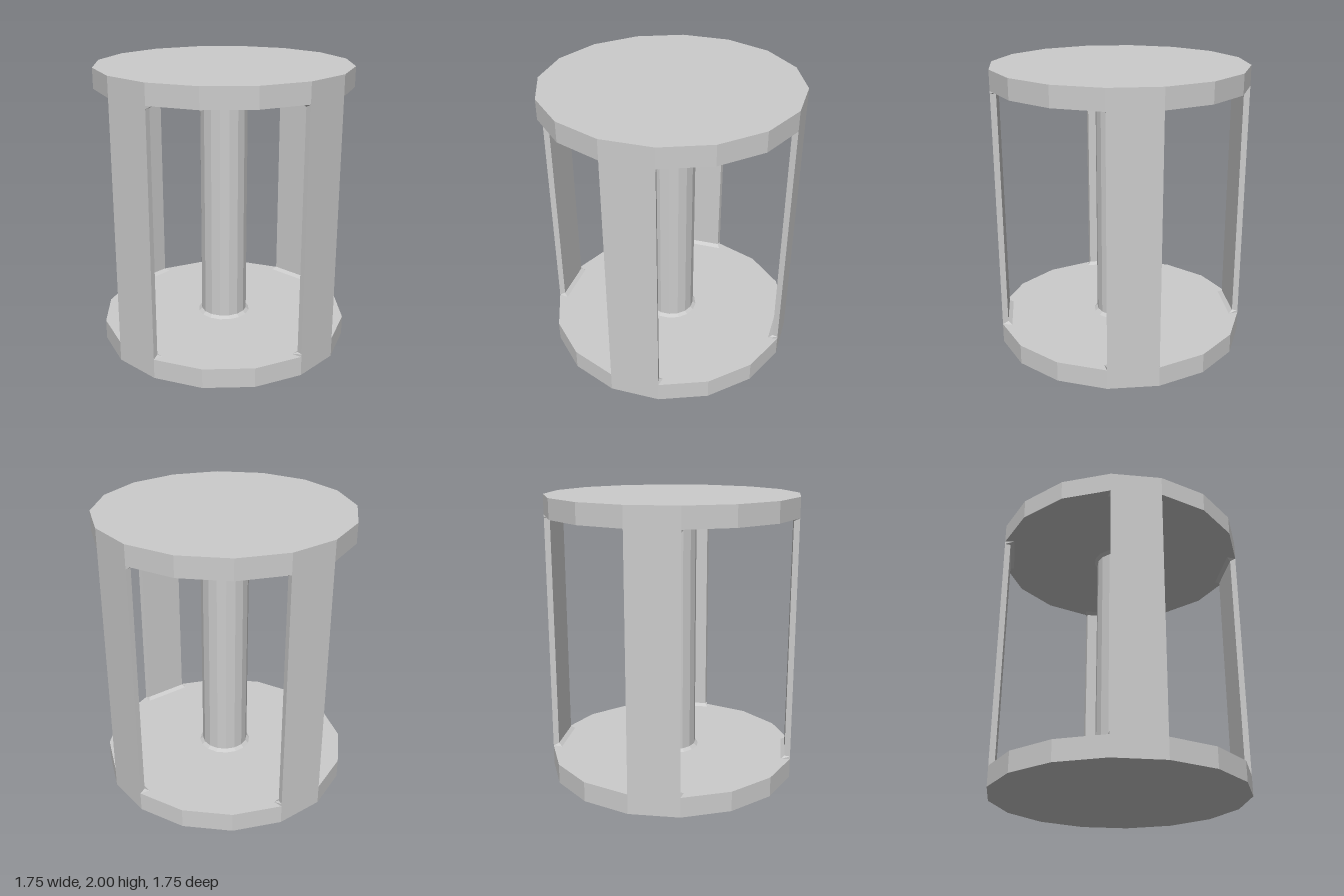
import * as THREE from 'three';

const SIDES = 16;
const APOTHEM = 0.875;                               // flat of the rim to the centre
const RADIUS = APOTHEM / Math.cos(Math.PI / SIDES);
const HEIGHT = 2, PLATE = 0.14, BEVEL = 0.02;

const material = new THREE.MeshStandardMaterial({ color: 0xcccccc, flatShading: true });

function addMesh(parent, name, geometry) {
  const mesh = new THREE.Mesh(geometry, material);
  mesh.name = name;
  parent.add(mesh);
  return mesh;
}

// Joins closed rings of [x, z] corners, counter-clockwise from above, each at its own height
function loft(rings) {
  const n = rings[0].points.length;
  const positions = rings.flatMap(({ y, points }) => points.flatMap(([x, z]) => [x, y, z]));
  const index = [];
  for (let r = 0; r < rings.length - 1; r++) {
    for (let i = 0; i < n; i++) {
      const a = r * n + i, b = r * n + (i + 1) % n;
      index.push(a, b, b + n, a, b + n, a + n);
    }
  }
  const geometry = new THREE.BufferGeometry();
  geometry.setAttribute('position', new THREE.Float32BufferAttribute(positions, 3));
  geometry.setIndex(index);
  const flat = geometry.toNonIndexed();
  flat.computeVertexNormals();
  return flat;
}

// Post outline: flat outer face on the rim, sides tapering towards the centre;
// the flare spreads the inner corners only
function postOutline(flare) {
  const outer = APOTHEM * Math.tan(Math.PI / SIDES);
  const inner = outer * 0.955 + flare;
  const zIn = 0.835 - flare * 1.4;
  return [[outer, APOTHEM], [inner, zIn], [-inner, zIn], [-outer, APOTHEM]];
}

export function createModel() {
  const model = new THREE.Group();
  model.name = 'postedDrum';

  // Round end plates
  const plate = new THREE.CylinderGeometry(RADIUS, RADIUS, PLATE, SIDES);
  plate.rotateY(Math.PI / SIDES);
  addMesh(model, 'bottomPlate', plate).position.y = PLATE / 2;
  addMesh(model, 'topPlate', plate).position.y = HEIGHT - PLATE / 2;

  // Central column with a small bevelled foot at both ends
  const low = PLATE, high = HEIGHT - PLATE;
  const profile = [[0.19, low], [0.168, low + BEVEL], [0.168, high - BEVEL], [0.19, high]];
  const column = new THREE.LatheGeometry(profile.map(([r, y]) => new THREE.Vector2(r, y)), SIDES);
  column.rotateY(Math.PI / SIDES);
  addMesh(model, 'centralColumn', column);

  // Four thin posts on the rim, bevelled on the inside where they meet the plates
  const ring = (y, flare) => ({ y, points: postOutline(flare) });
  const post = loft([
    ring(low, BEVEL), ring(low + BEVEL, 0), ring(high - BEVEL, 0), ring(high, BEVEL),
  ]);
  for (const [i, name] of ['frontPost', 'leftPost', 'backPost', 'rightPost'].entries()) {
    addMesh(model, name, post).rotation.y = i * Math.PI / 2;
  }
  return model;
}
